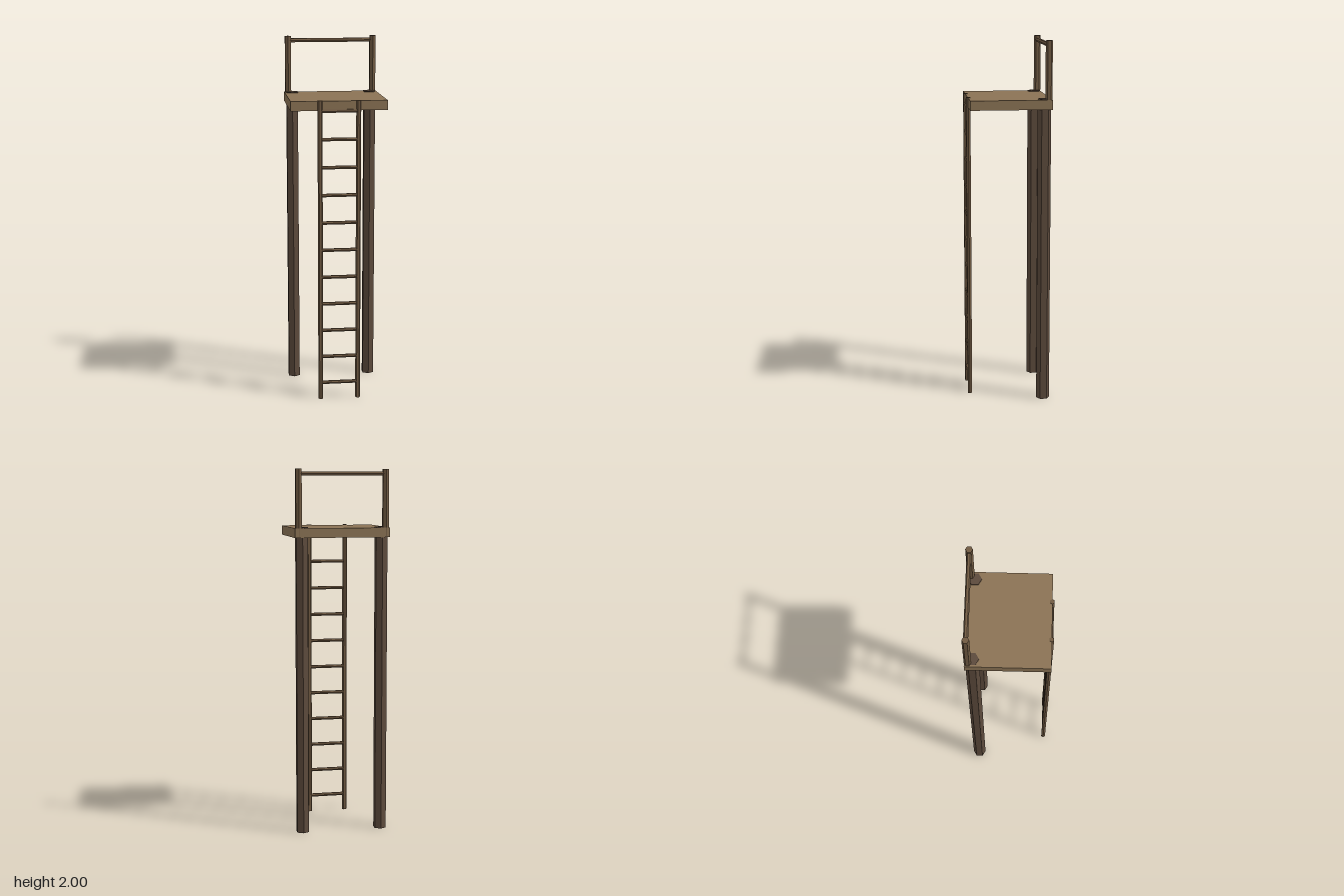
import * as THREE from 'three';

const wood = (color) => new THREE.MeshStandardMaterial({ color, flatShading: true });

export function createModel() {
  const model = new THREE.Group();
  const plankWood = wood(0x8b7355);
  const legWood = wood(0x5c4a3c);
  const poleWood = wood(0x705a42);

  // Upright six-sided pole between two heights
  function pole(name, radius, x, z, y0, y1, material, turn = 0) {
    const mesh = new THREE.Mesh(new THREE.CylinderGeometry(radius, radius, y1 - y0, 6), material);
    mesh.name = name;
    mesh.position.set(x, (y0 + y1) / 2, z);
    mesh.rotation.y = turn;
    model.add(mesh);
  }

  // Six-sided bar lying along x
  function bar(name, radius, length, y, z) {
    const mesh = new THREE.Mesh(new THREE.CylinderGeometry(radius, radius, length, 6), poleWood);
    mesh.name = name;
    mesh.position.set(0, y, z);
    mesh.rotation.z = Math.PI / 2;
    model.add(mesh);
  }

  // Platform
  const platform = new THREE.Mesh(new THREE.BoxGeometry(0.524, 0.052, 0.442), plankWood);
  platform.name = 'platform';
  platform.position.set(0, 1.659, -0.007);
  model.add(platform);

  // Back legs, railing posts and ladder stiles, mirrored
  for (const [side, s] of [['left', 1], ['right', -1]]) {
    pole(side + 'Leg', 0.0365, s * 0.2205, -0.189, 0, 1.69, legWood);
    pole(side + 'RailingPost', 0.019, s * 0.24, -0.21, 1.64, 2, poleWood);
    pole(side + 'LadderStile', 0.0135, s * 0.1045, 0.213, 0, 1.688, poleWood, Math.PI / 6);
  }

  // Handrail
  bar('handrail', 0.0125, 0.48, 1.976, -0.21);

  // Ladder rungs
  for (let i = 0; i < 11; i++) bar('ladderRung' + (i + 1), 0.01, 0.208, 0.095 + i * 0.1536, 0.213);

  return model;
}
